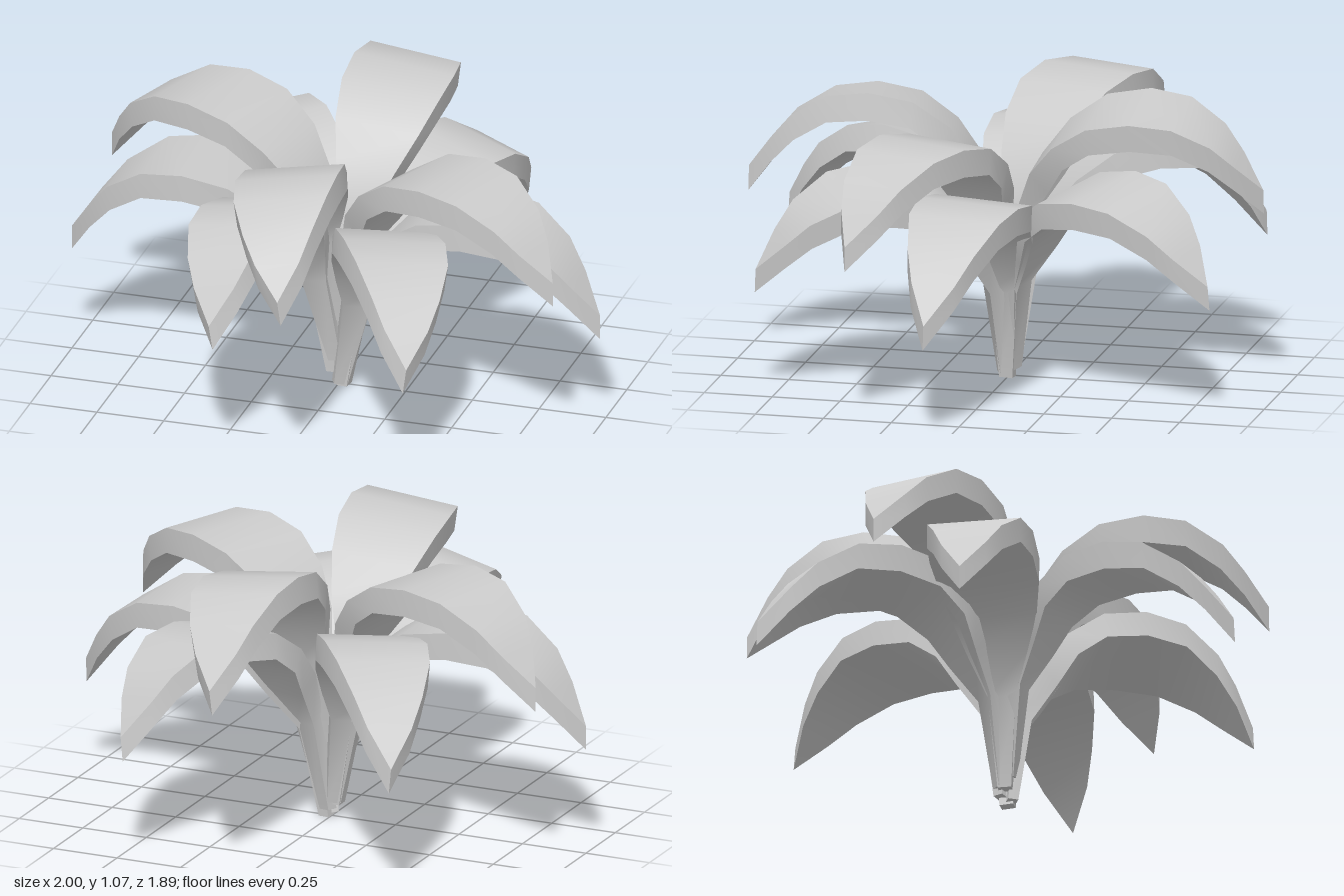
import * as THREE from 'three';

const material = new THREE.MeshStandardMaterial({ color: 0xcccccc });
const PEAK = 0.77;

// Leaf stations from stem to tip: top r, top y, underside r, underside y, half width
const STATIONS = [
  [0.0, 0.0, 0.04, 0.0, 0.025],
  [0.05, 0.36, 0.1, 0.33, 0.05],
  [0.12, 0.53, 0.19, 0.46, 0.11],
  [0.22, 0.65, 0.26, 0.57, 0.155],
  [0.36, 0.74, 0.37, 0.645, 0.182],
  [0.53, 0.77, 0.53, 0.67, 0.187],
  [0.69, 0.75, 0.69, 0.655, 0.17],
  [0.83, 0.66, 0.82, 0.57, 0.125],
  [0.91, 0.56, 0.91, 0.47, 0.08],
  [1.0, 0.43, 1.0, 0.34, 0.0],
];

// Tip x, tip z, height of the base, droop of the outer half, roll in degrees
const LEAVES = [
  [0.04, -0.945, 0.28, 0.86, 7],
  [0.44, -0.84, 0.03, 0.9, 7],
  [1.0, 0.07, 0.0, 1.0, -2],
  [0.92, 0.38, 0.2, 0.85, 0],
  [0.5, 0.81, 0.01, 0.9, -8],
  [0.07, 0.94, 0.26, 0.86, 8],
  [-0.21, 0.86, 0.1, 0.87, 10],
  [-1.0, 0.0, 0.05, 1.0, 0],
  [-0.95, -0.32, 0.25, 0.9, 0],
  [-0.6, -0.8, 0.06, 0.95, -5],
];

// Thick arched leaf along +z; each of its four long faces is smooth, its edges sharp
function leafGeometry(length, droop) {
  const positions = [];
  const indices = [];
  const rings = STATIONS.map(([rt, yt, rb, yb, w]) => {
    const drop = rt > 0.53 ? (PEAK - yt) * (1 - droop) : 0;
    const top = [yt + drop, rt * length];
    const under = [yb + drop, rb * length];
    return [[-w, ...top], [w, ...top], [w, ...under], [-w, ...under]];
  });
  for (let side = 0; side < 4; side++) {
    const start = positions.length / 3;
    rings.forEach((ring, i) => {
      positions.push(...ring[side], ...ring[(side + 1) % 4]);
      if (i === 0) return;
      const a = start + 2 * (i - 1);
      indices.push(a, a + 2, a + 1, a + 1, a + 2, a + 3);
    });
  }
  // Cap at the foot of the stem
  const cap = positions.length / 3;
  rings[0].forEach((p) => positions.push(...p));
  indices.push(cap, cap + 1, cap + 2, cap, cap + 2, cap + 3);

  const geometry = new THREE.BufferGeometry();
  geometry.setAttribute('position', new THREE.Float32BufferAttribute(positions, 3));
  geometry.setIndex(indices);
  geometry.computeVertexNormals();
  return geometry;
}

export function createModel() {
  const plant = new THREE.Group();
  plant.name = 'leafyPlant';
  LEAVES.forEach(([x, z, base, droop, rollDegrees], i) => {
    const roll = THREE.MathUtils.degToRad(rollDegrees);
    const length = Math.hypot(x, z);
    const leaf = new THREE.Mesh(leafGeometry(length, droop), material);
    leaf.name = `leaf${i + 1}`;
    // Turn a little further so the rolled tip still lands on its point
    const yaw = Math.atan2(x, z) + (0.43 * Math.sin(roll)) / length;
    leaf.rotation.set(0, yaw, roll, 'YXZ');
    leaf.position.y = base;
    plant.add(leaf);
  });
  return plant;
}
